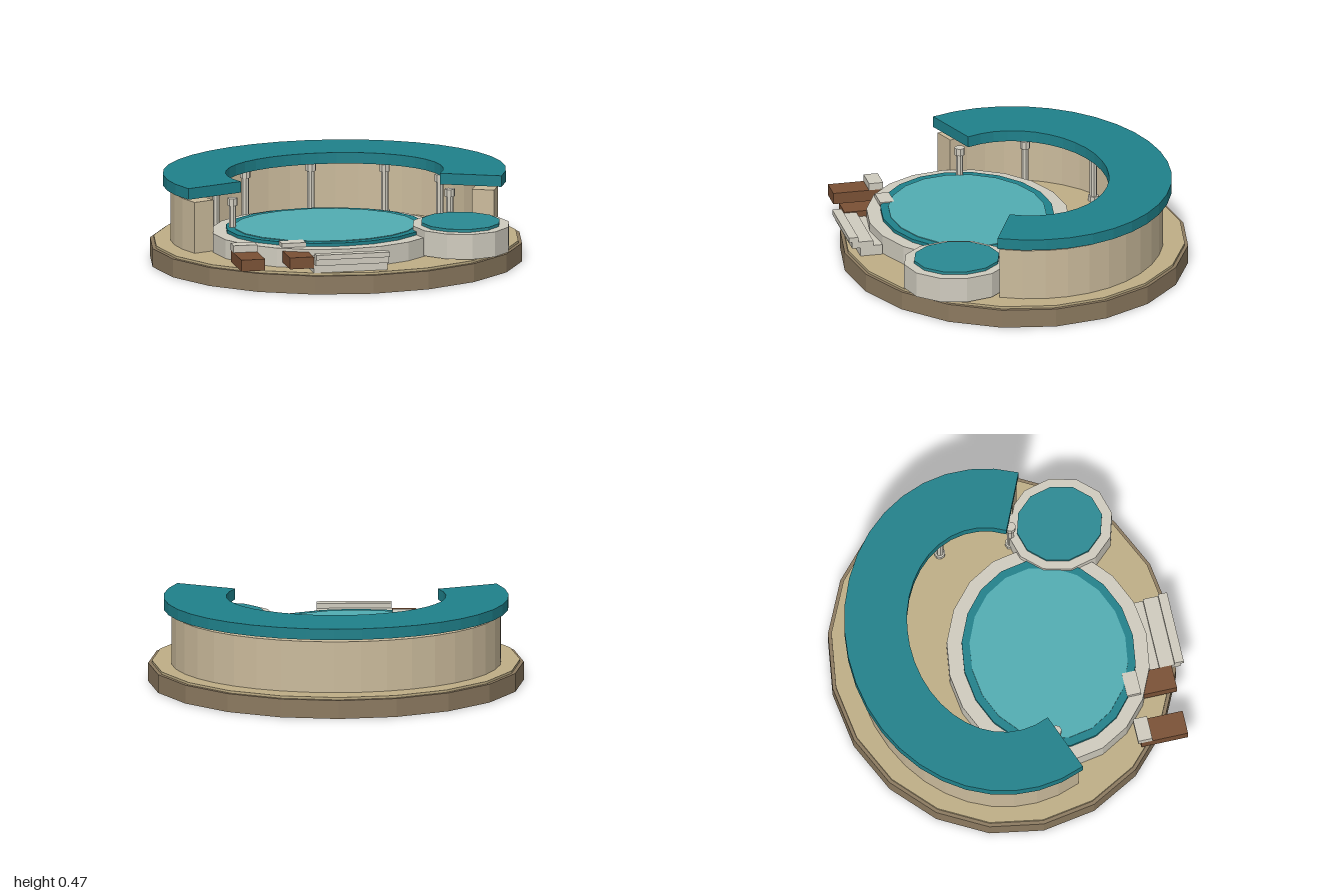
import * as THREE from 'three';

const mat = (color) => new THREE.MeshStandardMaterial({ color, flatShading: true });
const M = {
  earth: mat(0x8c7a60), sand: mat(0xbfae86), wall: mat(0xcbbb9c), stone: mat(0xd0ccbf),
  teal: mat(0x1f818b), water: mat(0x52adb3), spa: mat(0x2a8a93), wood: mat(0x7a5135),
};

export function createModel() {
  const root = new THREE.Group();

  const add = (name, geometry, material) => {
    const mesh = new THREE.Mesh(geometry, material);
    mesh.name = name;
    root.add(mesh);
    return mesh;
  };

  // Elliptical faceted disc between two heights
  const disc = (name, x, z, rx, rz, y0, y1, sides, material) => {
    const mesh = add(name, new THREE.CylinderGeometry(1, 1, y1 - y0, sides), material);
    mesh.scale.set(rx, 1, rz);
    mesh.position.set(x, (y0 + y1) / 2, z);
  };

  // Box given by its limits on each axis
  const block = (name, [x0, x1], [y0, y1], [z0, z1], material) => {
    const mesh = add(name, new THREE.BoxGeometry(x1 - x0, y1 - y0, z1 - z0), material);
    mesh.position.set((x0 + x1) / 2, (y0 + y1) / 2, (z0 + z1) / 2);
  };

  // Curved band open to the front, between an outer and an inner ellipse
  const band = (name, outer, inner, y0, y1, material) => {
    const n = 24, pts = [];
    const at = (i, [rx, rz]) => {
      const a = THREE.MathUtils.degToRad(-24 + (225 * i) / n);
      return new THREE.Vector2(rx * Math.cos(a), 0.04 + rz * Math.sin(a));
    };
    for (let i = 0; i <= n; i++) pts.push(at(i, outer));
    for (let i = n; i >= 0; i--) pts.push(at(i, inner));
    const g = new THREE.ExtrudeGeometry(new THREE.Shape(pts), { depth: y1 - y0, bevelEnabled: false });
    g.rotateX(-Math.PI / 2);
    add(name, g, material).position.y = y0;
  };

  // Ground
  disc('base', 0, 0, 1, 0.925, 0, 0.1, 20, M.earth);
  disc('terrace', 0, 0, 0.98, 0.907, 0.1, 0.113, 20, M.sand);

  // Curved building and its roof
  band('curvedWall', [0.88, 0.75], [0.76, 0.63], 0.11, 0.39, M.wall);
  band('roof', [0.92, 0.795], [0.585, 0.46], 0.41, 0.47, M.teal);

  // Columns under the inner edge of the roof
  const spots = [[-0.6, 0.16], [-0.61, -0.2], [-0.38, -0.52], [0, -0.62], [0.38, -0.52], [0.61, -0.2], [0.58, 0.18]];
  for (const [x, z] of spots) {
    disc('columnBase', x, z, 0.03, 0.03, 0.11, 0.14, 8, M.stone);
    disc('columnShaft', x, z, 0.02, 0.02, 0.14, 0.35, 8, M.stone);
    disc('columnCapital', x, z, 0.028, 0.028, 0.35, 0.39, 8, M.stone);
  }

  // Main pool
  disc('poolRim', -0.11, 0.227, 0.61, 0.537, 0.11, 0.215, 20, M.stone);
  disc('poolEdge', -0.11, 0.23, 0.535, 0.46, 0.2, 0.233, 20, M.teal);
  disc('poolWater', -0.11, 0.23, 0.49, 0.418, 0.22, 0.237, 20, M.water);

  // Small round pool
  disc('spaRim', 0.582, 0.45, 0.262, 0.284, 0.12, 0.256, 12, M.stone);
  disc('spaWater', 0.58, 0.447, 0.213, 0.232, 0.24, 0.272, 12, M.spa);

  // Steps
  const stepX = [-0.31, 0.09];
  block('lowerStep', stepX, [0.113, 0.168], [0.74, 0.86], M.stone);
  block('middleStep', stepX, [0.16, 0.195], [0.79, 0.905], M.stone);
  block('upperStep', stepX, [0.195, 0.222], [0.872, 0.922], M.stone);

  // Loungers with headrests
  for (const x of [-0.64, -0.375]) {
    const w = [x - 0.065, x + 0.065];
    block('lounger', w, [0.138, 0.2], [0.6, 0.855], M.wood);
    block('headrest', w, [0.2, 0.238], [0.583, 0.66], M.stone);
  }

  return root;
}
